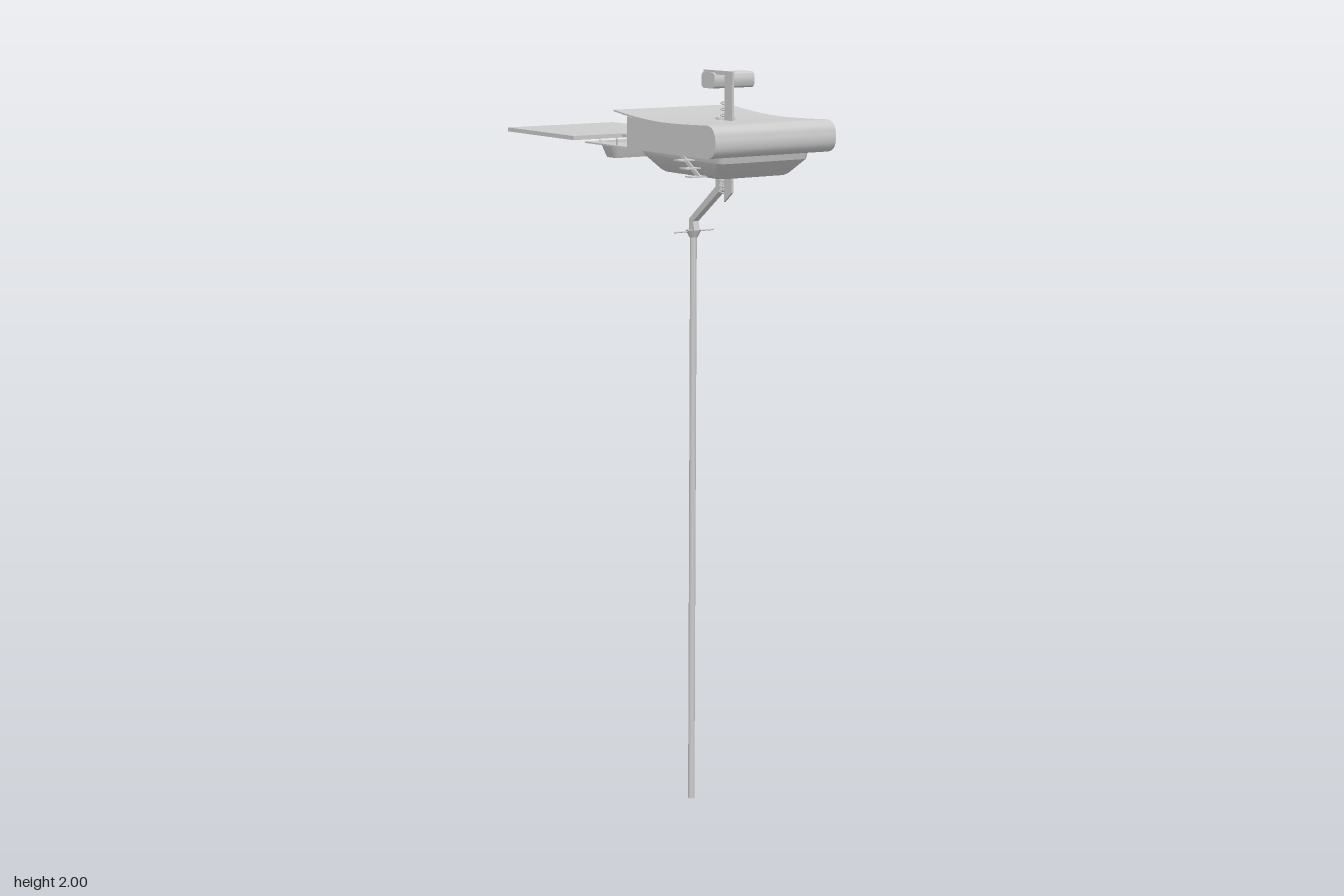
import * as THREE from 'three';
import { toCreasedNormals } from 'three/addons/utils/BufferGeometryUtils.js';

const mat = new THREE.MeshStandardMaterial({ color: 0xcccccc, side: THREE.DoubleSide });

export function createModel() {
  const root = new THREE.Group();
  const add = (name, geo, x = 0, y = 0, z = 0) => {
    const m = new THREE.Mesh(geo, mat);
    m.name = name;
    m.position.set(x, y, z);
    root.add(m);
    return m;
  };
  // Box given by its limits on each axis
  const box = (name, x0, x1, y0, y1, z0, z1) =>
    add(name, new THREE.BoxGeometry(x1 - x0, y1 - y0, z1 - z0), (x0 + x1) / 2, (y0 + y1) / 2, (z0 + z1) / 2);
  // Side profile in (z, y), extruded from x0 to x1
  const slab = (name, shape, x0, x1) => {
    const g = new THREE.ExtrudeGeometry(shape, { depth: x1 - x0, bevelEnabled: false, curveSegments: 8 });
    g.rotateY(-Math.PI / 2);
    return add(name, toCreasedNormals(g, 0.6), x1, 0, 0);
  };
  const poly = pts => new THREE.Shape(pts.map(p => new THREE.Vector2(...p)));
  const roundRect = (x0, x1, y0, y1, r, path = new THREE.Shape()) => {
    path.absarc(x1 - r, y1 - r, r, 0, Math.PI / 2);
    path.absarc(x0 + r, y1 - r, r, Math.PI / 2, Math.PI);
    path.absarc(x0 + r, y0 + r, r, Math.PI, Math.PI * 1.5);
    path.absarc(x1 - r, y0 + r, r, Math.PI * 1.5, Math.PI * 2);
    path.closePath();
    return path;
  };
  // Rounded basin with a closed floor; levels [x0, x1, z0, z1, y, r] from top to bottom
  const basin = (name, levels) => {
    const pos = [], idx = [], N = 20;
    for (const [x0, x1, z0, z1, y, r] of levels)
      for (let c = 0; c < 4; c++)
        for (let k = 0; k < 5; k++) {
          const a = (c + k / 4) * Math.PI / 2;
          const cx = c === 0 || c === 3 ? x1 - r : x0 + r, cz = c < 2 ? z1 - r : z0 + r;
          pos.push(cx + r * Math.cos(a), y, cz + r * Math.sin(a));
        }
    const [x0, x1, z0, z1, y] = levels.at(-1);
    pos.push((x0 + x1) / 2, y, (z0 + z1) / 2);
    for (let l = 0; l < levels.length; l++)
      for (let i = 0; i < N; i++) {
        const a = l * N + i, b = l * N + (i + 1) % N;
        if (l < levels.length - 1) idx.push(a, b, a + N, b, b + N, a + N);
        else idx.push(a, b, levels.length * N);
      }
    const g = new THREE.BufferGeometry();
    g.setAttribute('position', new THREE.Float32BufferAttribute(pos, 3));
    g.setIndex(idx);
    return add(name, toCreasedNormals(g, 0.5));
  };
  const spring = (name, x, z, y0, y1, r, turns) => {
    const pts = [];
    for (let i = 0; i <= turns * 10; i++) {
      const a = i * Math.PI / 5;
      pts.push(new THREE.Vector3(x + r * Math.cos(a), y0 + (y1 - y0) * i / (turns * 10), z + r * Math.sin(a)));
    }
    return add(name, new THREE.TubeGeometry(new THREE.CatmullRomCurve3(pts), turns * 12, 0.0022, 5));
  };

  // Pole with its cup and cross pin
  add('pole', new THREE.CylinderGeometry(0.009, 0.009, 1.58, 16), 0, 0.79, 0.153);
  add('poleCup', new THREE.CylinderGeometry(0.021, 0.011, 0.02, 16), 0, 1.577, 0.153);
  const pin = add('crossPin', new THREE.CylinderGeometry(0.002, 0.002, 0.125, 6), 0.002, 1.583, 0.153);
  pin.rotation.z = Math.PI / 2;

  // Bent support arm, spring and strut under the pan
  slab('supportArm', poly([[0.145, 1.585], [0.17, 1.585], [0.163, 1.61], [0.282, 1.7], [0.282, 1.75],
    [0.262, 1.75], [0.262, 1.708], [0.145, 1.615]]), -0.009, 0.009);
  spring('armSpring', 0.0, 0.29, 1.69, 1.75, 0.013, 4);
  add('armStrut', new THREE.TubeGeometry(new THREE.CatmullRomCurve3([
    new THREE.Vector3(0, 1.7, 0.285), new THREE.Vector3(0.004, 1.72, 0.285), new THREE.Vector3(0.03, 1.75, 0.285)]), 8, 0.004, 6));

  // Main housing with a rounded nose
  const body = new THREE.Shape();
  body.moveTo(0.122, 1.803);
  body.lineTo(0.47, 1.803);
  body.quadraticCurveTo(0.508, 1.805, 0.508, 1.84);
  body.quadraticCurveTo(0.508, 1.883, 0.47, 1.883);
  body.quadraticCurveTo(0.27, 1.874, 0.122, 1.884);
  body.closePath();
  slab('housing', body, -0.185, 0.182);

  // Thin top sheet sweeping up at the back
  const lid = new THREE.Shape();
  lid.moveTo(0.47, 1.883);
  lid.quadraticCurveTo(0.27, 1.868, 0.06, 1.897);
  lid.lineTo(0.06, 1.893);
  lid.quadraticCurveTo(0.27, 1.864, 0.47, 1.879);
  slab('topSheet', lid, -0.185, 0.182);

  // Rear shelf with an opening, and the tray hanging in it
  const shelf = poly([[-0.185, -0.08], [0.182, -0.08], [0.182, 0.13], [-0.185, 0.13]]);
  shelf.holes.push(roundRect(-0.147, 0.143, -0.076, 0.005, 0.018, new THREE.Path()));
  const shelfGeo = new THREE.ExtrudeGeometry(shelf, { depth: 0.004, bevelEnabled: false, curveSegments: 4 });
  shelfGeo.rotateX(Math.PI / 2);
  add('rearShelf', shelfGeo, 0, 1.807, 0);
  basin('tray', [
    [-0.147, 0.143, -0.076, 0.005, 1.806, 0.018],
    [-0.145, 0.141, -0.074, 0.003, 1.797, 0.017],
    [-0.134, 0.130, -0.062, -0.009, 1.766, 0.012]]);

  // Tapered pan below the housing
  basin('lowerPan', [
    [-0.137, 0.137, 0.106, 0.466, 1.804, 0.02],
    [-0.135, 0.135, 0.11, 0.462, 1.787, 0.02],
    [-0.11, 0.112, 0.155, 0.422, 1.75, 0.02],
    [-0.102, 0.104, 0.164, 0.413, 1.745, 0.018]]);

  // Rear panel on its bar, with small upright pins
  box('panelBar', -0.02, 0.023, 1.806, 1.814, -0.165, 0.018);
  box('rearPanel', -0.172, 0.178, 1.804, 1.815, -0.51, -0.158);
  for (const [z, s] of [[0.063, -1], [0.063, 1], [-0.018, -1], [-0.018, 1]])
    add('shelfPin', new THREE.CylinderGeometry(0.0015, 0.0015, 0.022, 5), s * 0.178, 1.813, z);

  // Small ladder of slats beside the pan
  const slats = [1.754, 1.772, 1.79];
  slats.forEach((y, i) => box('sideSlat', -0.184, -0.14, y - 0.0015, y + 0.0015, 0.38 - i * 0.025, 0.41 - i * 0.025));
  slab('slatRail', poly([[0.31, 1.803], [0.33, 1.803], [0.412, 1.752], [0.392, 1.752]]), -0.158, -0.154);

  // Upright blade post, below and above the housing, with a hooked top
  slab('bladePost', poly([[0.312, 1.675], [0.344, 1.7], [0.344, 2.0], [0.22, 2.0], [0.22, 1.99],
    [0.312, 1.99]]), -0.018, -0.012);

  // Capsule-like head beside the post
  slab('head', roundRect(0.22, 0.277, 1.955, 1.995, 0.012), -0.024, 0.1);

  // Bent neck, coil and base ring under the head
  add('headNeck', new THREE.TubeGeometry(new THREE.CatmullRomCurve3([
    new THREE.Vector3(0.02, 1.958, 0.262), new THREE.Vector3(0.026, 1.945, 0.268),
    new THREE.Vector3(0.004, 1.925, 0.29), new THREE.Vector3(0.024, 1.905, 0.285),
    new THREE.Vector3(0.01, 1.878, 0.278)]), 24, 0.004, 6));
  spring('headSpring', 0.01, 0.282, 1.88, 1.925, 0.014, 3);
  const ring = add('baseRing', new THREE.TorusGeometry(0.021, 0.005, 6, 24), 0.01, 1.88, 0.278);
  ring.rotation.x = Math.PI / 2;

  return root;
}
